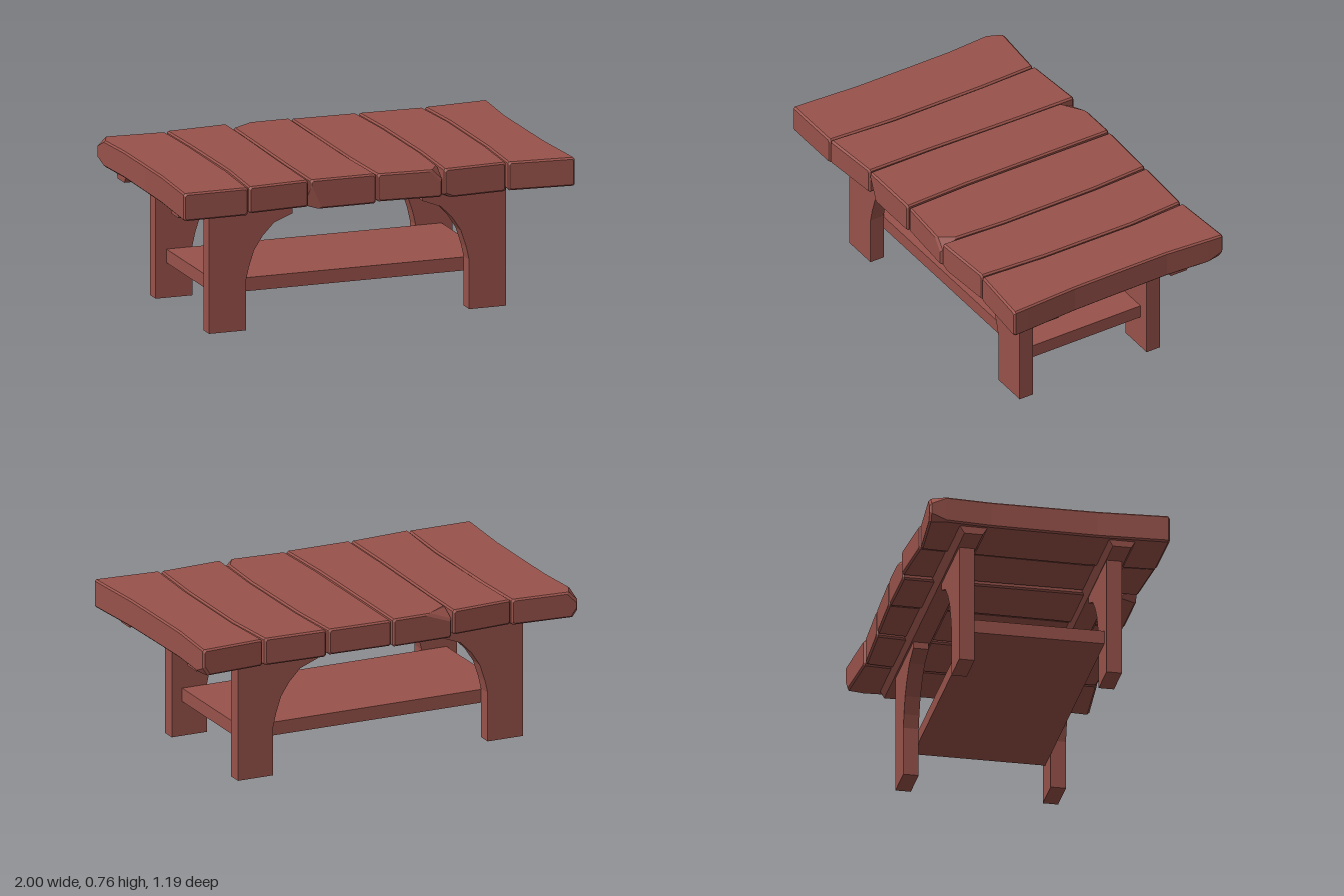
import * as THREE from 'three';

const wood = new THREE.MeshStandardMaterial({ color: 0x98524a, flatShading: true });
wood.name = 'redBrownWood';

const KNOTS = [-0.58, -0.28, 0.22, 0.57];

// piecewise linear lookup of a plank edge along its length
function edgeAt(edge, z) {
  let i = 0;
  while (i < 2 && z > KNOTS[i + 1]) i++;
  const t = THREE.MathUtils.clamp((z - KNOTS[i]) / (KNOTS[i + 1] - KNOTS[i]), 0, 1);
  return THREE.MathUtils.lerp(edge[i], edge[i + 1], t);
}

// wavy plank lofted from chamfered sections; chips are enlarged corner chamfers at the ends
function plankGeometry({ left, right, back, front, bottom = 0.62, top = 0.757, chips = [] }) {
  const stations = [0, 0.008, 0.07, 0.26, 0.5, 0.7, 0.93, 0.992, 1];
  const pos = [], index = [];
  stations.forEach((t, s) => {
    const end = s === 0 || s === stations.length - 1;
    const inset = end ? 0.008 : 0;
    const c = [0, 1, 2, 3].map(() => [0.008, 0.008]);
    for (const [where, corner, w, h] of chips) {
      const d = where === 'back' ? t : 1 - t;
      const k = Math.max(0, 1 - d / 0.07);
      c[corner] = [0.008 + w * k, 0.008 + h * k];
    }
    const zl = THREE.MathUtils.lerp(back[0], front[0], t);
    const zr = THREE.MathUtils.lerp(back[1], front[1], t);
    const xl = edgeAt(left, zl) + inset, xr = edgeAt(right, zr) - inset;
    const y0 = bottom + inset + 0.008 * (1 - t), y1 = top - inset;
    // corners: 0 bottom left, 1 bottom right, 2 top right, 3 top left
    const ring = [
      [xl + c[0][0], y0], [xr - c[1][0], y0], [xr, y0 + c[1][1]], [xr, y1 - c[2][1]],
      [xr - c[2][0], y1], [xl + c[3][0], y1], [xl, y1 - c[3][1]], [xl, y0 + c[0][1]],
    ];
    for (const [x, y] of ring) {
      pos.push(x, y, THREE.MathUtils.lerp(zl, zr, (x - xl) / (xr - xl)));
    }
  });
  const last = (stations.length - 1) * 8;
  for (let b = 0; b < last; b += 8) {
    for (let i = 0; i < 8; i++) {
      const j = (i + 1) % 8;
      index.push(b + i, b + j, b + 8 + j, b + i, b + 8 + j, b + 8 + i);
    }
  }
  for (let i = 1; i < 7; i++) {
    index.push(0, i + 1, i, last, last + i, last + i + 1);
  }
  const g = new THREE.BufferGeometry();
  g.setAttribute('position', new THREE.Float32BufferAttribute(pos, 3));
  g.setIndex(index);
  const flat = g.toNonIndexed();
  flat.computeVertexNormals();
  return flat;
}

const PLANKS = [
  { left: [-1, -0.98, -0.98, -1], right: [-0.66, -0.65, -0.65, -0.67], back: [-0.595, -0.57], front: [0.58, 0.578],
    chips: [['front', 0, 0.04, 0.04], ['back', 3, 0.04, 0.04], ['back', 0, 0.02, 0.03]] },
  { left: [-0.652, -0.644, -0.641, -0.665], right: [-0.335, -0.338, -0.35, -0.352], back: [-0.575, -0.597], front: [0.578, 0.555], bottom: 0.628, top: 0.76 },
  { left: [-0.33, -0.334, -0.343, -0.343], right: [-0.016, -0.017, -0.018, -0.006], back: [-0.59, -0.592], front: [0.558, 0.558], bottom: 0.613, top: 0.76,
    chips: [['front', 0, 0.04, 0.1], ['back', 3, 0.12, 0.04]] },
  { left: [-0.006, -0.008, -0.01, 0.002], right: [0.322, 0.34, 0.344, 0.325], back: [-0.592, -0.582], front: [0.555, 0.578],
    chips: [['front', 2, 0.045, 0.045]] },
  { left: [0.334, 0.349, 0.351, 0.335], right: [0.657, 0.68, 0.678, 0.658], back: [-0.582, -0.57], front: [0.578, 0.56], bottom: 0.613,
    chips: [['front', 0, 0.03, 0.01]] },
  { left: [0.67, 0.688, 0.686, 0.667], right: [0.998, 0.977, 0.98, 1], back: [-0.575, -0.597], front: [0.565, 0.592], bottom: 0.616,
    chips: [['back', 1, 0.02, 0.035]] },
];

function extrude(points, depth) {
  const shape = new THREE.Shape(points.map(([x, y]) => new THREE.Vector2(x, y)));
  return new THREE.ExtrudeGeometry(shape, { depth, bevelEnabled: false });
}

export function createModel() {
  const table = new THREE.Group();
  table.name = 'plankTable';
  const add = (name, geometry, parent = table) => {
    const mesh = new THREE.Mesh(geometry, wood);
    mesh.name = name;
    parent.add(mesh);
    return mesh;
  };

  // tabletop
  const tabletop = new THREE.Group();
  tabletop.name = 'tabletop';
  table.add(tabletop);
  PLANKS.forEach((p, i) => add(`plank${i + 1}`, plankGeometry(p), tabletop));

  // dovetail battens running under the planks
  const batten = [[-0.0875, 0.66], [-0.045, 0.59], [0.045, 0.59], [0.0875, 0.66]];
  for (const [name, z] of [['frontBatten', 0.353], ['backBatten', -0.373]]) {
    const g = extrude(batten, 1.91);
    g.rotateY(Math.PI / 2);
    add(name, g).position.set(-0.96, 0, z);
  }

  // legs with curved braces, mirrored about the frame centre
  const centre = -0.037;
  const leg = [
    [0.76, 0], [0.76, 0.592], [0.333, 0.592], [0.333, 0.557], [0.428, 0.52], [0.486, 0.46],
    [0.53, 0.393], [0.557, 0.31], [0.572, 0.245], [0.572, 0],
  ];
  for (const [side, s] of [['Left', 1], ['Right', -1]]) {
    for (const [end, z] of [['front', 0.31], ['back', -0.41]]) {
      const g = extrude(leg.map(([x, y]) => [centre + s * x, y]), 0.075);
      add(`${end}${side}Leg`, g).position.z = z;
    }
  }

  // lower shelf between the legs
  add('shelf', new THREE.BoxGeometry(1.41, 0.067, 0.647)).position.set(centre, 0.207, -0.012);

  return table;
}
